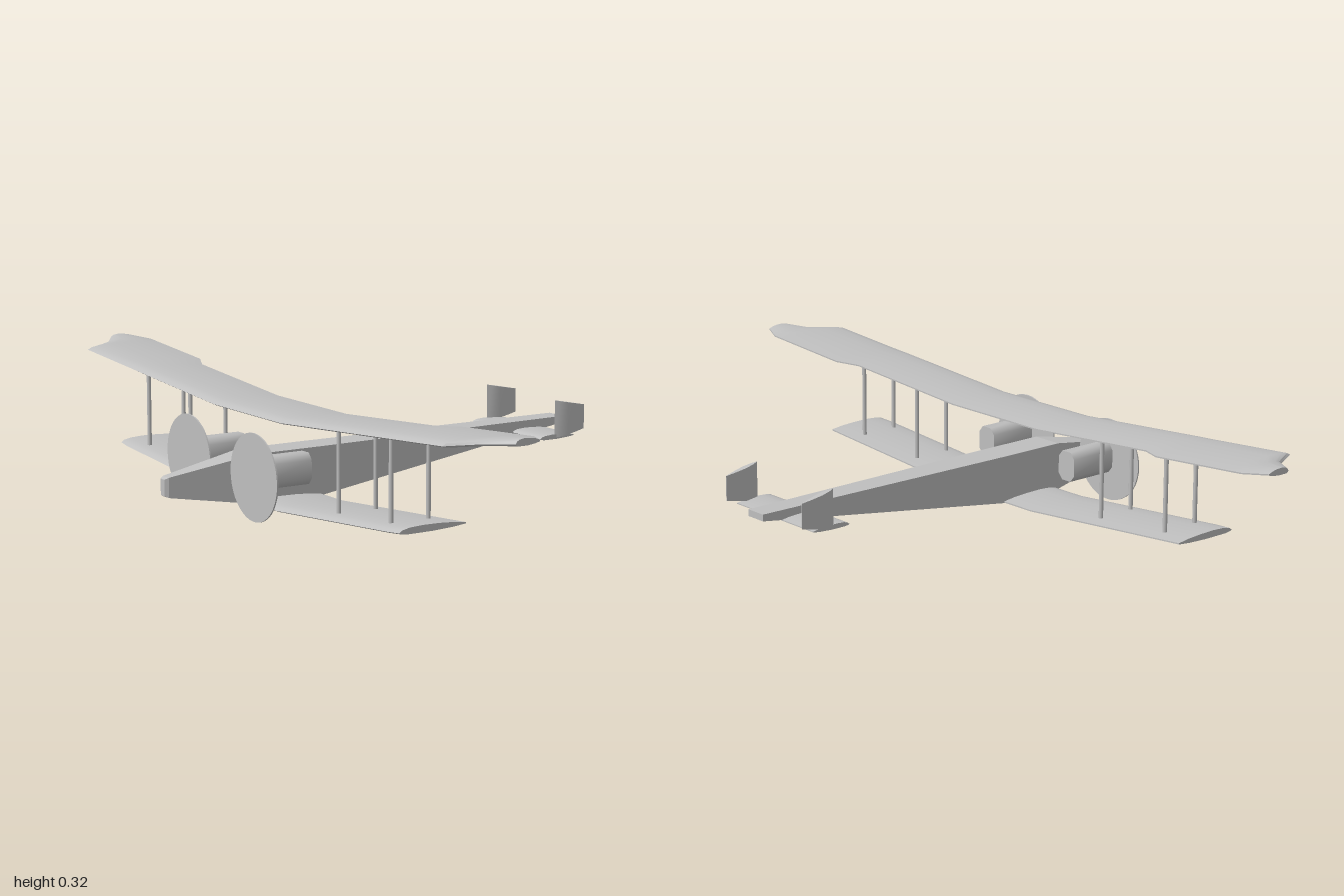
import * as THREE from 'three';
import { toCreasedNormals } from 'three/addons/utils/BufferGeometryUtils.js';

// Skin a list of equal-length rings of [x, y, z] points and close both ends
function loft(rings, crease = 0.7) {
  const n = rings[0].length, pos = rings.flat(2), idx = [];
  for (let i = 0; i < rings.length - 1; i++) {
    for (let j = 0; j < n; j++) {
      const a = i * n + j, b = i * n + (j + 1) % n;
      idx.push(a, b, b + n, a, b + n, a + n);
    }
  }
  const last = (rings.length - 1) * n;
  for (let j = 1; j < n - 1; j++) {
    idx.push(0, j + 1, j, last, last + j, last + j + 1);
  }
  // Turn the faces outward if the enclosed volume comes out negative
  const p = (i) => new THREE.Vector3().fromArray(pos, i * 3);
  let volume = 0;
  for (let i = 0; i < idx.length; i += 3) {
    volume += p(idx[i]).dot(p(idx[i + 1]).cross(p(idx[i + 2])));
  }
  if (volume < 0) idx.reverse();
  const geo = new THREE.BufferGeometry();
  geo.setAttribute('position', new THREE.Float32BufferAttribute(pos, 3));
  geo.setIndex(idx);
  return toCreasedNormals(geo, crease);
}

// Airfoil outline: fraction of chord, fraction of thickness
const AIRFOIL = [[0, 0.3], [0.05, 0.65], [0.15, 0.88], [0.35, 1], [0.6, 0.95], [0.82, 0.8],
  [1, 0.55], [1, 0.35], [0.8, 0.15], [0.5, 0], [0.12, 0], [0.03, 0.12]];

// Mirrored wing from half-span stations [z, leading x, trailing x]
function wing(stations, bottom, thickness) {
  const half = stations.map(([z, lead, trail]) => [z, lead, trail, bottom(z)]);
  const all = [...half.map(([z, ...r]) => [-z, ...r]).reverse(), ...half];
  return loft(all.map(([z, lead, trail, y]) =>
    AIRFOIL.map(([u, v]) => [lead + (trail - lead) * u, y + thickness * v, z])));
}

const upperY = (z) => 0.243 + Math.max(0, z - 0.17) * 0.075;
const lowerY = (z) => 0.011 + Math.max(0, z - 0.15) * 0.08;

export function createModel() {
  const model = new THREE.Group();
  model.name = 'biplane';
  const grey = new THREE.MeshStandardMaterial({ color: 0xbfbfbf });
  grey.name = 'plain grey';
  const add = (name, geo, x = 0, y = 0, z = 0) => {
    const mesh = new THREE.Mesh(geo, grey);
    mesh.name = name;
    mesh.position.set(x, y, z);
    model.add(mesh);
    return mesh;
  };

  // Slab-sided fuselage: x, half width, bottom, top
  const frames = [[-0.63, 0.01, 0.059, 0.102], [-0.62, 0.016, 0.054, 0.107],
    [-0.38, 0.045, 0.016, 0.148], [-0.18, 0.045, 0.016, 0.148], [0.63, 0.03, 0.13, 0.148]];
  add('fuselage', loft(frames.map(([x, w, b, t]) =>
    [[x, b, -w], [x, t, -w], [x, t, w], [x, b, w]]), 0.1));

  // Wings with dihedral; the upper one has flared ailerons and clipped tips
  add('upperWing', wing([[0.17, -0.38, -0.18], [0.58, -0.38, -0.18], [0.645, -0.38, -0.15],
    [0.89, -0.38, -0.15], [0.935, -0.295, -0.15], [1, -0.25, -0.18]], upperY, 0.018));
  add('lowerWing', wing([[0.15, -0.38, -0.18], [0.66, -0.38, -0.18], [0.705, -0.375, -0.18]],
    lowerY, 0.018));

  // Tailplane
  add('tailplane', wing([[0.16, 0.455, 0.57]], () => 0.115, 0.013));

  for (const side of [-1, 1]) {
    // Lens-section tail fin with sloping top and bottom
    const lens = [[0, 0], [0.15, 0.006], [0.4, 0.009], [0.7, 0.006], [1, 0.001],
      [1, -0.001], [0.7, -0.006], [0.4, -0.009], [0.15, -0.006]];
    const finRing = (front, back) => lens.map(([u, z]) =>
      [0.505 + 0.1 * u, front + (back - front) * u, side * 0.158 + z]);
    add('tailFin', loft([finRing(0.118, 0.135), finRing(0.222, 0.202)]));

    // Engine nacelle with bevelled edges
    const nacelle = [[0.03, 0.024], [0.016, 0.041], [-0.016, 0.041], [-0.03, 0.024],
      [-0.03, -0.024], [-0.016, -0.041], [0.016, -0.041], [0.03, -0.024]];
    add('engineNacelle', loft([-0.445, -0.3].map((x) =>
      nacelle.map(([z, y]) => [x, 0.124 + y, side * 0.162 + z])), 0.9));

    // Propeller disc and its shaft
    add('propellerDisc', new THREE.CylinderGeometry(0.115, 0.115, 0.004, 40),
      -0.457, 0.115, side * 0.167).rotation.z = Math.PI / 2;
    add('propellerShaft', new THREE.CylinderGeometry(0.01, 0.01, 0.014, 12),
      -0.45, 0.118, side * 0.165).rotation.z = Math.PI / 2;

    // Struts between the wings
    for (const z of [0.375, 0.61]) {
      for (const x of [-0.335, -0.225]) {
        const low = lowerY(z) + 0.008, high = upperY(z) + 0.008;
        add('wingStrut', new THREE.CylinderGeometry(0.006, 0.006, high - low, 10),
          x, (low + high) / 2, side * z);
      }
    }
  }
  return model;
}
